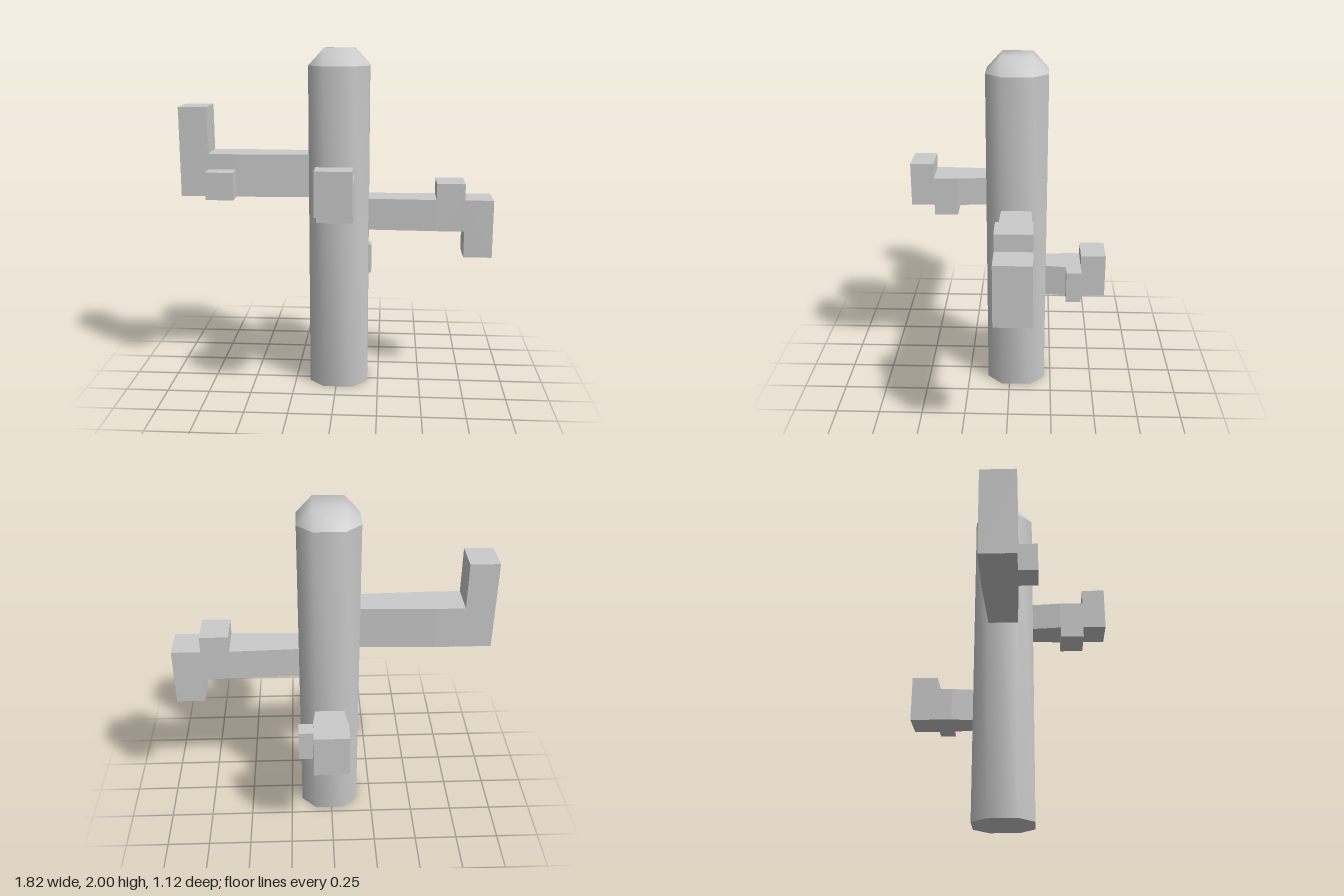
import * as THREE from 'three';
import { mergeVertices } from 'three/addons/utils/BufferGeometryUtils.js';

const material = new THREE.MeshStandardMaterial({ color: 0xcccccc });
const H = 0.173, Q = 0.086; // trunk half width and half width of each flat
const BODY_TOP = 1.905, TOP = 2;
const RING = [[H, -Q], [H, Q], [Q, H], [-Q, H], [-H, Q], [-H, -Q], [-Q, -H], [Q, -H]];

function smoothMesh(name, triangles) {
  const geo = new THREE.BufferGeometry();
  geo.setAttribute('position', new THREE.Float32BufferAttribute(triangles.flat(2), 3));
  const merged = mergeVertices(geo);
  merged.computeVertexNormals();
  const mesh = new THREE.Mesh(merged, material);
  mesh.name = name;
  return mesh;
}

// Eight-sided trunk, smooth around its sides, with a bevelled cap ending in a square
function makeTrunk() {
  const trunk = new THREE.Group();
  trunk.name = 'trunk';
  const sides = [], cap = [], base = [];
  const corner = ([x, z]) => [Math.sign(x) * Q, TOP, Math.sign(z) * Q];
  RING.forEach((p, i) => {
    const n = RING[(i + 1) % 8];
    const b0 = [p[0], 0, p[1]], b1 = [n[0], 0, n[1]];
    const t0 = [p[0], BODY_TOP, p[1]], t1 = [n[0], BODY_TOP, n[1]];
    const c0 = corner(p), c1 = corner(n);
    sides.push([b0, t0, t1], [b0, t1, b1]);
    cap.push([t0, c1, t1]);
    if (i % 2 === 0) cap.push([t0, c0, c1]); // sloped flats; diagonals are triangles
    base.push([[0, 0, 0], b0, b1]);
  });
  const [a, b, c, d] = [[Q, Q], [Q, -Q], [-Q, -Q], [-Q, Q]].map(corner);
  cap.push([a, b, c], [a, c, d]);
  trunk.add(smoothMesh('trunkSides', sides), smoothMesh('trunkCap', cap), smoothMesh('trunkBase', base));
  return trunk;
}

function addBox(group, name, [x0, x1], [y0, y1], [z0, z1]) {
  const mesh = new THREE.Mesh(new THREE.BoxGeometry(x1 - x0, y1 - y0, z1 - z0), material);
  mesh.geometry.translate((x0 + x1) / 2, (y0 + y1) / 2, (z0 + z1) / 2);
  mesh.name = name;
  group.add(mesh);
  return mesh;
}

// Arm running along local +x: a root that narrows at the trunk, then a stepped end
function makeArm({ name, turn, root, height, profile, nub }) {
  const arm = new THREE.Group();
  arm.name = name;
  const W = 0.1;
  const stub = addBox(arm, name + 'Root', root, height, [-W, W]);
  const pos = stub.geometry.attributes.position;
  const middle = (root[0] + root[1]) / 2;
  for (let i = 0; i < pos.count; i++) {
    if (pos.getX(i) < middle) pos.setZ(i, pos.getZ(i) * Q / W);
  }
  stub.geometry = stub.geometry.toNonIndexed();
  stub.geometry.computeVertexNormals();

  const shape = new THREE.Shape(profile.map(([x, y]) => new THREE.Vector2(x, y)));
  const geo = new THREE.ExtrudeGeometry(shape, { depth: 2 * W, bevelEnabled: false });
  geo.translate(0, 0, -W);
  const end = new THREE.Mesh(geo, material);
  end.name = name + 'End';
  arm.add(end);

  if (nub) addBox(arm, name + 'Nub', ...nub);
  arm.rotation.y = turn;
  return arm;
}

const ARMS = [
  {
    name: 'leftArm', turn: 0, root: [0.172, 0.567], height: [0.96, 1.145],
    profile: [[0.567, 0.96], [0.73, 0.96], [0.73, 0.805], [0.895, 0.805], [0.895, 1.145],
      [0.73, 1.145], [0.73, 1.24], [0.567, 1.24]],
  },
  {
    name: 'rightArm', turn: Math.PI, root: [0.172, 0.597], height: [1.15, 1.4],
    profile: [[0.597, 1.15], [0.922, 1.15], [0.922, 1.67], [0.757, 1.67], [0.757, 1.4], [0.597, 1.4]],
    nub: [[0.597, 0.757], [1.15, 1.31], [-0.205, -0.1]],
  },
  {
    name: 'frontArm', turn: -Math.PI / 2, root: [0.172, 0.337], height: [1.15, 1.31],
    profile: [[0.337, 1.09], [0.47, 1.09], [0.47, 1.15], [0.6, 1.15], [0.6, 1.395],
      [0.47, 1.395], [0.47, 1.31], [0.337, 1.31]],
  },
  {
    name: 'backArm', turn: Math.PI / 2, root: [0.172, 0.292], height: [0.58, 0.765],
    profile: [[0.292, 0.58], [0.523, 0.58], [0.523, 0.837], [0.378, 0.837], [0.378, 0.765], [0.292, 0.765]],
    nub: [[0.292, 0.38], [0.58, 0.765], [0.1, 0.185]],
  },
];

export function createModel() {
  const model = new THREE.Group();
  model.name = 'branchedPost';
  model.add(makeTrunk(), ...ARMS.map(makeArm));
  // The trunk stands slightly off centre
  model.children.forEach((part) => part.position.set(0.011, 0, -0.039));
  return model;
}
